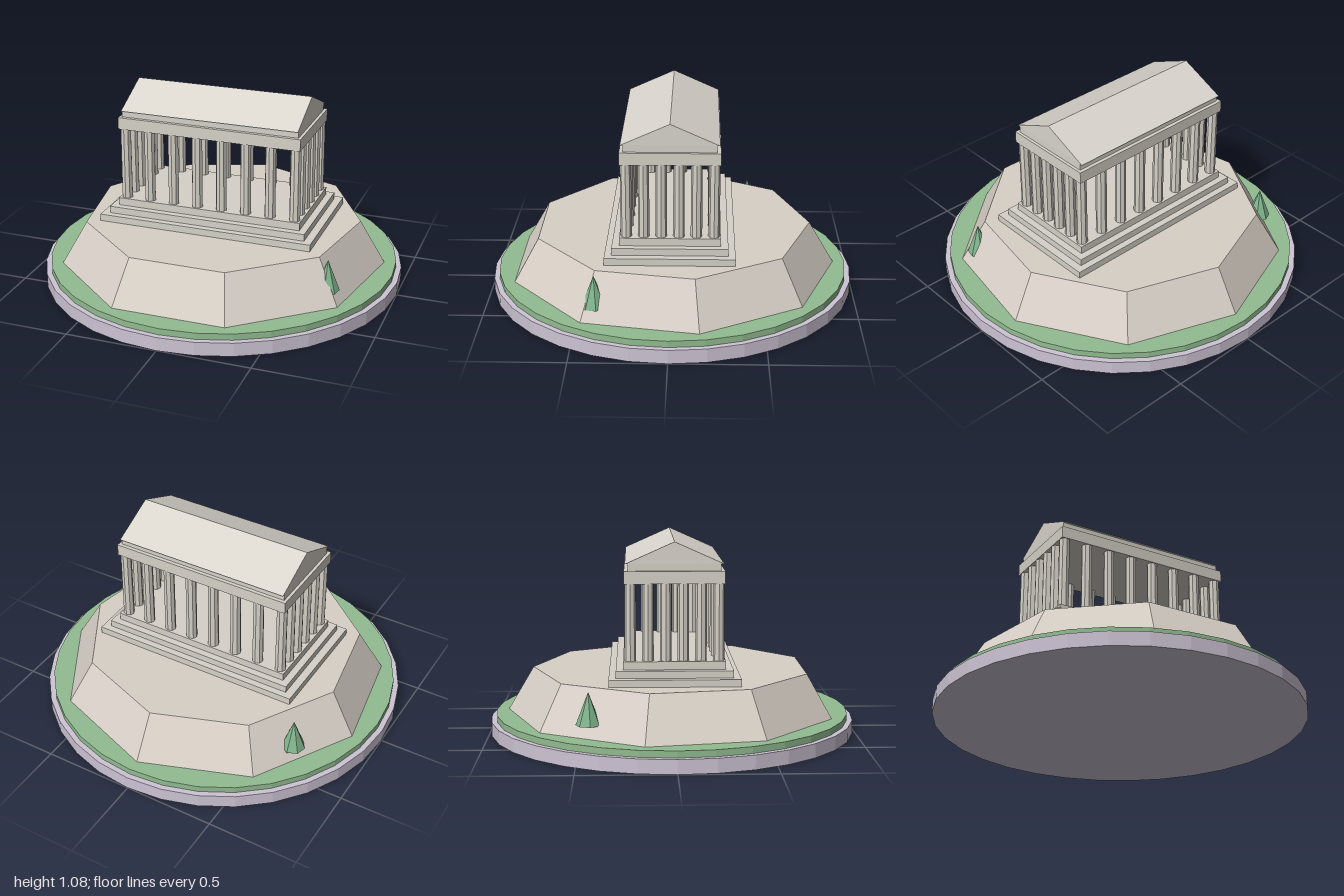
import * as THREE from 'three';

const paint = (name, color) => {
  const m = new THREE.MeshStandardMaterial({ color });
  m.name = name;
  m.flatShading = true;
  return m;
};

export function createModel() {
  const model = new THREE.Group();
  model.name = 'templeOnHill';
  const lavender = paint('lavenderStone', 0xcdc4d4);
  const grass = paint('grass', 0x92bc90);
  const rock = paint('hillStone', 0xd8d0c7);
  const marble = paint('marble', 0xd6d2c8);
  const roofStone = paint('roofStone', 0xdad5cd);
  const leaf = paint('leaf', 0x80b48c);

  const add = (name, geometry, material, x = 0, y = 0, z = 0, parent = model) => {
    const mesh = new THREE.Mesh(geometry, material);
    mesh.name = name;
    mesh.position.set(x, y, z);
    parent.add(mesh);
    return mesh;
  };
  // Parts given by bottom and top heights
  const disc = (name, rTop, rBottom, y0, y1, sides, material) =>
    add(name, new THREE.CylinderGeometry(rTop, rBottom, y1 - y0, sides), material, 0, (y0 + y1) / 2);
  const block = (name, halfX, halfZ, y0, y1) =>
    add(name, new THREE.BoxGeometry(halfX * 2, y1 - y0, halfZ * 2), marble, 0, (y0 + y1) / 2);

  // Ground and nine-sided hill
  disc('base', 1, 1, 0, 0.075, 32, lavender);
  disc('lawn', 0.97, 0.97, 0.075, 0.11, 32, grass);
  disc('hill', 0.765, 0.905, 0.11, 0.347, 9, rock).rotation.y = Math.PI;

  // Stepped platform
  block('lowerStep', 0.598, 0.34, 0.347, 0.385);
  block('middleStep', 0.555, 0.303, 0.385, 0.423);
  block('upperStep', 0.517, 0.265, 0.423, 0.465);

  // Colonnade: eight by six around the perimeter
  const columns = new THREE.Group();
  columns.name = 'columns';
  model.add(columns);
  const shaft = new THREE.CylinderGeometry(0.029, 0.03, 0.4, 8);
  const nx = 8, nz = 6;
  for (let i = 0; i < nx; i++) {
    for (let j = 0; j < nz; j++) {
      if (i > 0 && i < nx - 1 && j > 0 && j < nz - 1) continue;
      add('column', shaft, marble, -0.48 + (0.96 * i) / (nx - 1), 0.665, -0.228 + (0.456 * j) / (nz - 1), columns);
    }
  }

  // Beams above the columns
  block('entablature', 0.51, 0.26, 0.865, 0.93);
  block('cornice', 0.494, 0.24, 0.93, 0.968);

  // Gabled roof with its ridge along x
  const gable = new THREE.Shape([
    new THREE.Vector2(-0.255, 0.966), new THREE.Vector2(0.255, 0.966), new THREE.Vector2(0, 1.08),
  ]);
  const roof = new THREE.ExtrudeGeometry(gable, { depth: 0.988, bevelEnabled: false });
  roof.translate(0, 0, -0.494).rotateY(Math.PI / 2);
  add('roof', roof, roofStone);

  // Small conical trees on the slope
  const cone = new THREE.ConeGeometry(0.065, 0.17, 7);
  add('tree', cone, leaf, 0.71, 0.255, 0.385);
  add('tree', cone, leaf, -0.68, 0.258, -0.44).rotation.y = 0.4;

  return model;
}
